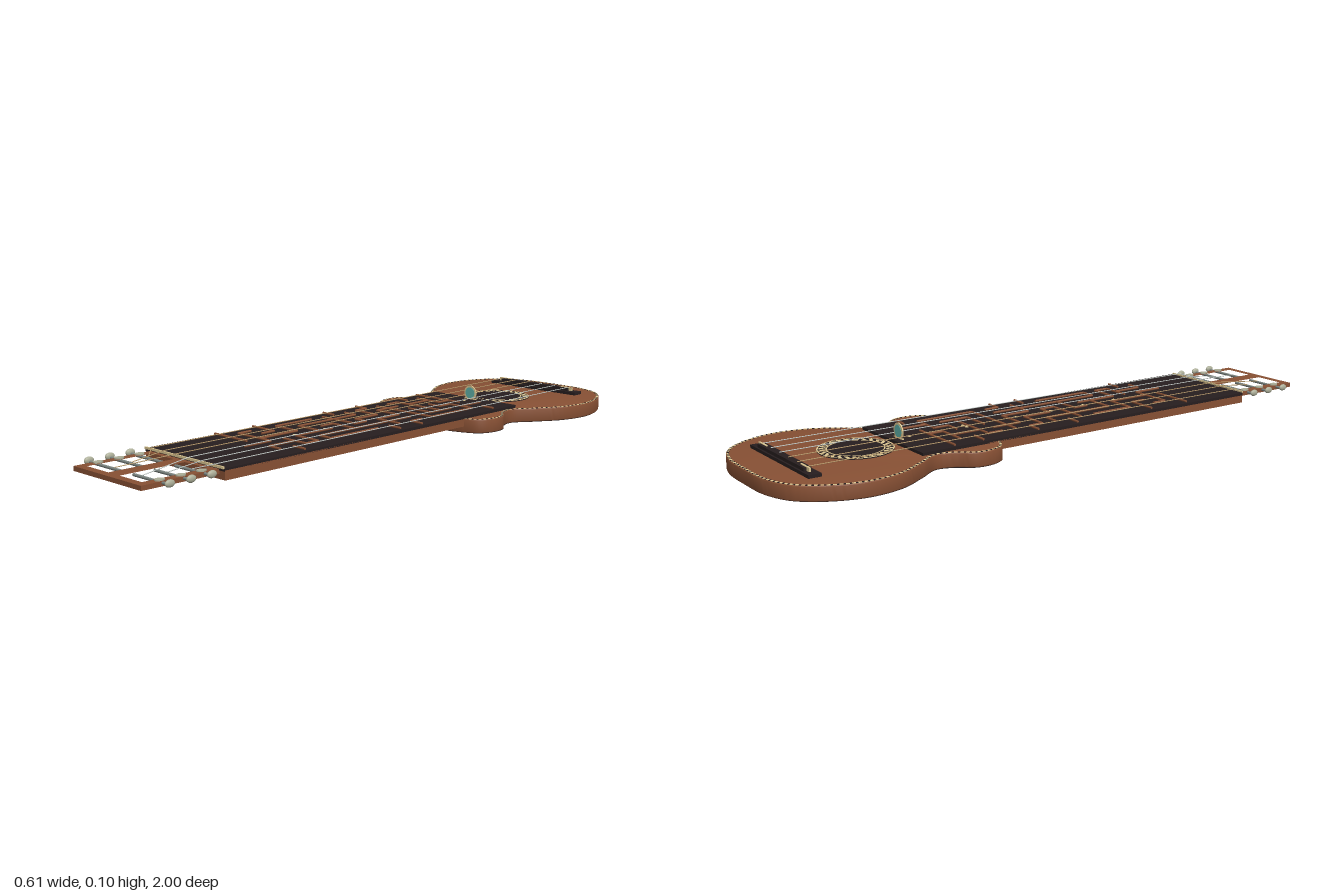
import * as THREE from 'three';
import { mergeGeometries, toCreasedNormals } from 'three/addons/utils/BufferGeometryUtils.js';

const mat = (name, color) => new THREE.MeshStandardMaterial({ name, color });

export function createModel() {
  const wood = mat('mahogany', 0x875034);
  const ebony = mat('ebony', 0x271e1f);
  const cream = mat('cream', 0xdcc792);
  const steel = mat('steel', 0x7d8682);
  const nickel = mat('nickel', 0xacae98);
  const bronze = mat('bronze', 0xb89a6a);
  const silver = mat('silver', 0xc4ccc8);
  const teal = mat('teal', 0x62b4ac);

  const root = new THREE.Group();
  const add = (name, geo, material, parent = root) => {
    const m = new THREE.Mesh(geo, material);
    m.name = name;
    parent.add(m);
    return m;
  };
  // box given by its min and max corners
  const box = (x0, x1, y0, y1, z0, z1) =>
    new THREE.BoxGeometry(x1 - x0, y1 - y0, z1 - z0).translate((x0 + x1) / 2, (y0 + y1) / 2, (z0 + z1) / 2);
  // round rod between two points
  const rod = (a, b, r, sides = 16) => {
    const p = new THREE.Vector3(...a), q = new THREE.Vector3(...b), d = q.clone().sub(p);
    const g = new THREE.CylinderGeometry(r, r, d.length(), sides);
    g.applyQuaternion(new THREE.Quaternion().setFromUnitVectors(new THREE.Vector3(0, 1, 0), d.normalize()));
    return g.translate((p.x + q.x) / 2, (p.y + q.y) / 2, (p.z + q.z) / 2);
  };
  // flat shape in (x, -z) raised from y0 to y1, with edges softened by bevel
  const slab = (shape, y0, y1, bevel = 0) => toCreasedNormals(
    new THREE.ExtrudeGeometry(shape, {
      depth: y1 - y0 - 2 * bevel, bevelEnabled: bevel > 0, bevelThickness: bevel,
      bevelSize: bevel, bevelOffset: -bevel, bevelSegments: 3,
    }).rotateX(-Math.PI / 2).translate(0, y0 + bevel, 0), 0.6);

  // Body outline, mirrored about x = 0
  const half = [[0.12, -0.994], [0.212, -0.957], [0.275, -0.877], [0.306, -0.77], [0.29, -0.66], [0.237, -0.565],
    [0.191, -0.49], [0.205, -0.435], [0.238, -0.39], [0.245, -0.34], [0.224, -0.285], [0.17, -0.257], [0.09, -0.24]];
  const outline = new THREE.CatmullRomCurve3([
    [0, -1], ...half, [0, -0.23], ...half.slice().reverse().map(([x, z]) => [-x, z]),
  ].map(([x, z]) => new THREE.Vector3(x, 0, z)), true);
  const count = 280;
  const edge = outline.getSpacedPoints(count).slice(0, count);
  const shapeOf = k => new THREE.Shape(edge.map(p => new THREE.Vector2(p.x * k, -((p.z + 0.62) * k - 0.62))));
  add('back', slab(shapeOf(0.992), 0, 0.002), ebony);
  add('body', slab(shapeOf(1), 0.001, 0.046, 0.003), wood);

  // Rope binding: alternating cream and dark blocks just inside the top edge
  const rope = [[], []];
  edge.forEach((p, i) => {
    const q = edge[(i + 1) % count], len = p.distanceTo(q);
    const g = new THREE.BoxGeometry(len * (i % 2 ? 0.8 : 1.2), 0.002, 0.007).translate(0, 0, 0.0055);
    g.rotateY(-Math.atan2(q.z - p.z, q.x - p.x)).translate((p.x + q.x) / 2, 0.0459, (p.z + q.z) / 2);
    rope[i % 2].push(g);
  });
  add('bindingLight', mergeGeometries(rope[0]), cream);
  add('bindingDark', mergeGeometries(rope[1]), ebony);

  // Sound hole and rosette
  const hz = -0.65;
  add('soundHole', new THREE.CylinderGeometry(0.114, 0.114, 0.002, 48).translate(0, 0.0465, hz), ebony);
  const beads = [];
  for (let i = 0; i < 26; i++) {
    const bead = new THREE.BoxGeometry(0.024, 0.002, 0.009).rotateY(0.7).translate(0.099, 0.0475, 0);
    beads.push(bead.rotateY(i / 26 * Math.PI * 2).translate(0, 0, hz));
  }
  add('rosetteRope', mergeGeometries(beads), cream);
  for (const r of [0.085, 0.112]) {
    const ring = new THREE.RingGeometry(r - 0.002, r + 0.002, 48).rotateX(-Math.PI / 2);
    add('rosetteRing', ring.translate(0, 0.049, hz), cream);
  }

  // Bridge with raised tie block and saddle
  add('bridge', box(-0.19, 0.19, 0.045, 0.056, -0.895, -0.855), ebony);
  add('tieBlock', box(-0.15, 0.15, 0.056, 0.066, -0.889, -0.865), ebony);
  for (const s of [-1, 1]) add('saddle', box(s * 0.137 - 0.027, s * 0.137 + 0.027, 0.056, 0.068, -0.88, -0.874), cream);

  // Neck, fingerboard and nut
  add('neck', box(-0.18, 0.18, 0.021, 0.049, -0.3, 0.74), wood);
  add('fingerboard', box(-0.18, 0.18, 0.0458, 0.055, -0.53, 0.741), ebony);
  add('nut', box(-0.178, 0.178, 0.053, 0.06, 0.74, 0.745), cream);

  // Maze of low walls, carved by a seeded depth-first walk
  let seed = 11;
  const rand = () => (seed = (seed * 16807) % 2147483647) / 2147483647;
  const cols = 7, rows = 20, step = 0.0495, stepZ = 0.0503, z0 = -0.467, x0 = -cols * step / 2;
  const open = new Set(), seen = new Set([0]), stack = [0];
  while (stack.length) {
    const c = stack[stack.length - 1], x = c % cols, y = Math.floor(c / cols);
    const next = [[x + 1, y], [x - 1, y], [x, y + 1], [x, y - 1]]
      .filter(([a, b]) => a >= 0 && b >= 0 && a < cols && b < rows).map(([a, b]) => b * cols + a)
      .filter(n => !seen.has(n));
    if (!next.length) { stack.pop(); continue; }
    const n = next[Math.floor(rand() * next.length)];
    open.add(Math.min(c, n) + ':' + Math.max(c, n));
    seen.add(n);
    stack.push(n);
  }
  const walls = [], wy = 0.0595, wr = 0.0036;
  for (let y = 0; y < rows; y++) for (let x = 0; x < cols; x++) {
    const c = y * cols + x, px = x0 + x * step, pz = z0 + y * stepZ;
    if (x < cols - 1 && !open.has(c + ':' + (c + 1)))
      walls.push(rod([px + step, wy, pz], [px + step, wy, pz + stepZ], wr));
    if (y < rows - 1 && !open.has(c + ':' + (c + cols)))
      walls.push(rod([px, wy, pz + stepZ], [px + step, wy, pz + stepZ], wr));
  }
  add('mazeWalls', mergeGeometries(walls), wood);

  // Position dots
  for (const [x, z] of [[0, -0.47], [-0.01, -0.27], [0.01, -0.27], [0, -0.08], [0, 0.06], [0, 0.19], [0, 0.32]])
    add('positionDot', new THREE.CylinderGeometry(0.007, 0.007, 0.002, 16).translate(x, 0.0555, z), cream);

  // Upright round token with a rim and a foot
  const token = new THREE.Group();
  token.name = 'token';
  token.position.set(0, 0.077, -0.505);
  root.add(token);
  add('tokenRim', new THREE.CylinderGeometry(0.026, 0.026, 0.004, 40).rotateX(Math.PI / 2), cream, token);
  add('tokenDisc', new THREE.CylinderGeometry(0.0195, 0.0195, 0.006, 32).rotateX(Math.PI / 2), teal, token);
  add('tokenFoot', box(-0.025, 0.025, -0.022, -0.019, -0.003, 0.003), cream, token);

  // Slotted headstock
  const rect = (T, a, b, c, d) => new T([[a, -c], [b, -c], [b, -d], [a, -d]].map(p => new THREE.Vector2(...p)));
  const head = rect(THREE.Shape, -0.156, 0.156, 0.74, 1);
  head.holes.push(rect(THREE.Path, -0.126, -0.026, 0.757, 0.975), rect(THREE.Path, 0.026, 0.126, 0.757, 0.975));
  add('headstock', slab(head, 0.036, 0.05), wood);

  // Tuners and strings on each side
  for (const s of [-1, 1]) {
    [0.79, 0.86, 0.93].forEach((z, i) => {
      add('tunerShaft', rod([s * 0.026, 0.045, z], [s * 0.186, 0.045, z], 0.0045), steel);
      const plate = new THREE.CylinderGeometry(0.012, 0.012, 0.005, 24).scale(1, 1, 1.3);
      add('tunerPlate', plate.translate(s * 0.141, 0.0515, z), nickel);
      const knob = new THREE.SphereGeometry(1, 20, 14).scale(0.007, 0.011, 0.016);
      add('tunerKnob', knob.translate(s * 0.186, 0.049, z), nickel);
      const x = s * (0.145 - i * 0.058), postX = s * (0.1 - i * 0.018);
      const string = mergeGeometries([
        rod([x, 0.067, -0.877], [x, 0.0625, 0.744], 0.0013),
        rod([x, 0.0625, 0.744], [postX, 0.049, z], 0.0013),
      ]);
      add('string', string, s < 0 ? bronze : silver);
    });
  }
  return root;
}
